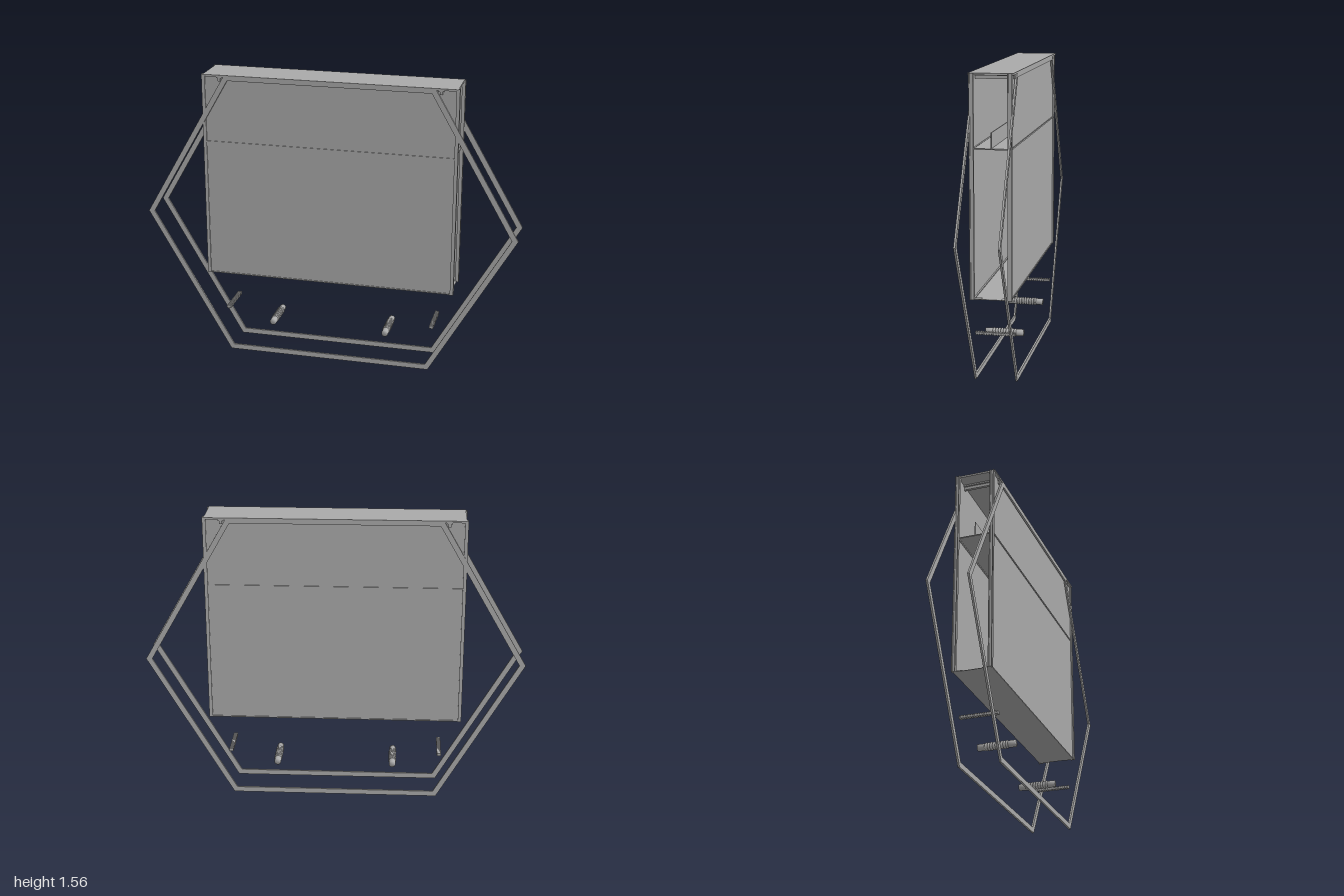
import * as THREE from 'three';

const grey = new THREE.MeshStandardMaterial({ color: 0xaaaaaa, side: THREE.DoubleSide });
grey.name = 'plain grey';

const TOP = 1.555, BASE = 0.445, SHELF_Y = 1.19;

function add(parent, name, geometry, x = 0, y = 0, z = 0) {
  const mesh = new THREE.Mesh(geometry, grey);
  mesh.name = name;
  mesh.position.set(x, y, z);
  parent.add(mesh);
  return mesh;
}

// Box given by its minimum and maximum on each axis
function block(parent, name, [x0, x1], [y0, y1], [z0, z1]) {
  return add(parent, name, new THREE.BoxGeometry(x1 - x0, y1 - y0, z1 - z0),
    (x0 + x1) / 2, (y0 + y1) / 2, (z0 + z1) / 2);
}

// Hexagon outline, tip to tip along x
function hexPoints(tip, corner, half) {
  return [[tip, 0], [corner, half], [-corner, half], [-tip, 0], [-corner, -half], [corner, -half]]
    .map(([x, y]) => new THREE.Vector2(x, y + TOP / 2));
}

function hexFrameGeometry() {
  const w = 0.028;
  const shape = new THREE.Shape(hexPoints(1, 0.551, TOP / 2));
  shape.holes.push(new THREE.Path(hexPoints(1 - w * 1.155, 0.551 - w * 0.577, TOP / 2 - w)));
  return new THREE.ExtrudeGeometry(shape, { depth: 0.01, bevelEnabled: false });
}

// Ridged pin along z: smooth ends, rings in the middle
function pinGeometry() {
  const pts = [[0, -0.1], [0.018, -0.1], [0.018, -0.062]];
  const rings = 9, pitch = 0.124 / rings;
  for (let i = 0; i < rings; i++) {
    const a = -0.062 + i * pitch;
    pts.push([0.015, a], [0.021, a + pitch * 0.3], [0.021, a + pitch * 0.7], [0.015, a + pitch]);
  }
  pts.push([0.018, 0.062], [0.018, 0.1], [0, 0.1]);
  const g = new THREE.LatheGeometry(pts.map(([r, y]) => new THREE.Vector2(r, y)), 20);
  return g.rotateX(Math.PI / 2);
}

export function createModel() {
  const model = new THREE.Group();
  model.name = 'cabinetWithHexFrames';

  // Two hexagonal frames, front and back
  const hex = hexFrameGeometry();
  add(model, 'frontHexFrame', hex, 0, 0, 0.1);
  add(model, 'backHexFrame', hex, 0, 0, -0.11);

  // Cabinet faces with corner channels
  for (const s of [1, -1]) {
    const side = new THREE.Group();
    side.name = s > 0 ? 'frontSide' : 'backSide';
    const z = (a, b) => (s > 0 ? [a, b] : [-b, -a]);
    block(side, 'lowerPanel', [-0.662, 0.662], [BASE, SHELF_Y - 0.003], z(0.091, 0.096));
    block(side, 'upperPanel', [-0.662, 0.662], [SHELF_Y + 0.003, TOP - 0.004], z(0.091, 0.096));
    block(side, 'middleStrip', [-0.657, 0.657], [SHELF_Y - 0.004, SHELF_Y + 0.004], z(0.083, 0.1));
    block(side, 'bottomStrip', [-0.657, 0.657], [BASE, BASE + 0.006], z(0.083, 0.1));
    for (const m of [1, -1]) {
      const x = (a, b) => (m > 0 ? [a, b] : [-b, -a]);
      const post = new THREE.Group();
      post.name = m > 0 ? 'leftPost' : 'rightPost';
      block(post, 'postOuterFlange', x(0.657, 0.675), [BASE, TOP], z(0.1, 0.105));
      block(post, 'postInnerFlange', x(0.657, 0.675), [BASE, TOP], z(0.083, 0.088));
      block(post, 'postWeb', x(0.662, 0.669), [BASE, TOP], z(0.088, 0.1));
      block(post, 'bottomTab', x(0.635, 0.665), [BASE, BASE + 0.004], z(0.05, 0.088));
      side.add(post);
    }
    model.add(side);
  }

  // Top, floor, shelf and shelf divider
  block(model, 'topPlate', [-0.667, 0.667], [TOP - 0.01, TOP], [-0.11, 0.11]);
  block(model, 'floor', [-0.662, 0.662], [BASE, BASE + 0.002], [-0.091, 0.091]);
  block(model, 'shelf', [-0.66, 0.66], [SHELF_Y - 0.003, SHELF_Y + 0.003], [-0.083, 0.083]);
  block(model, 'shelfDivider', [-0.655, 0.655], [SHELF_Y, 1.27], [-0.002, 0.002]);

  const pin = pinGeometry();
  for (const m of [1, -1]) {
    const label = m > 0 ? 'left' : 'right';
    // T-shaped cross bars under the top
    add(model, label + 'CrossBar', new THREE.BoxGeometry(0.03, 0.008, 0.208), m * 0.58, 1.541, 0);
    add(model, label + 'CrossBarStem', new THREE.BoxGeometry(0.014, 0.018, 0.208), m * 0.58, 1.53, 0);
    // Ridged pins
    add(model, label + 'RidgedPin', pin, m * 0.312, 0.183, 0);
    // Toothed bars
    const rack = new THREE.Group();
    rack.name = label + 'ToothedBar';
    add(rack, 'barCore', new THREE.BoxGeometry(0.018, 0.008, 0.2), 0, 0, 0);
    for (let i = 0; i < 17; i++) {
      add(rack, 'tooth', new THREE.BoxGeometry(0.022, 0.016, 0.007), 0, 0, (i - 8) * 0.0121);
    }
    rack.position.set(m * 0.563, 0.247, 0);
    model.add(rack);
  }
  return model;
}
